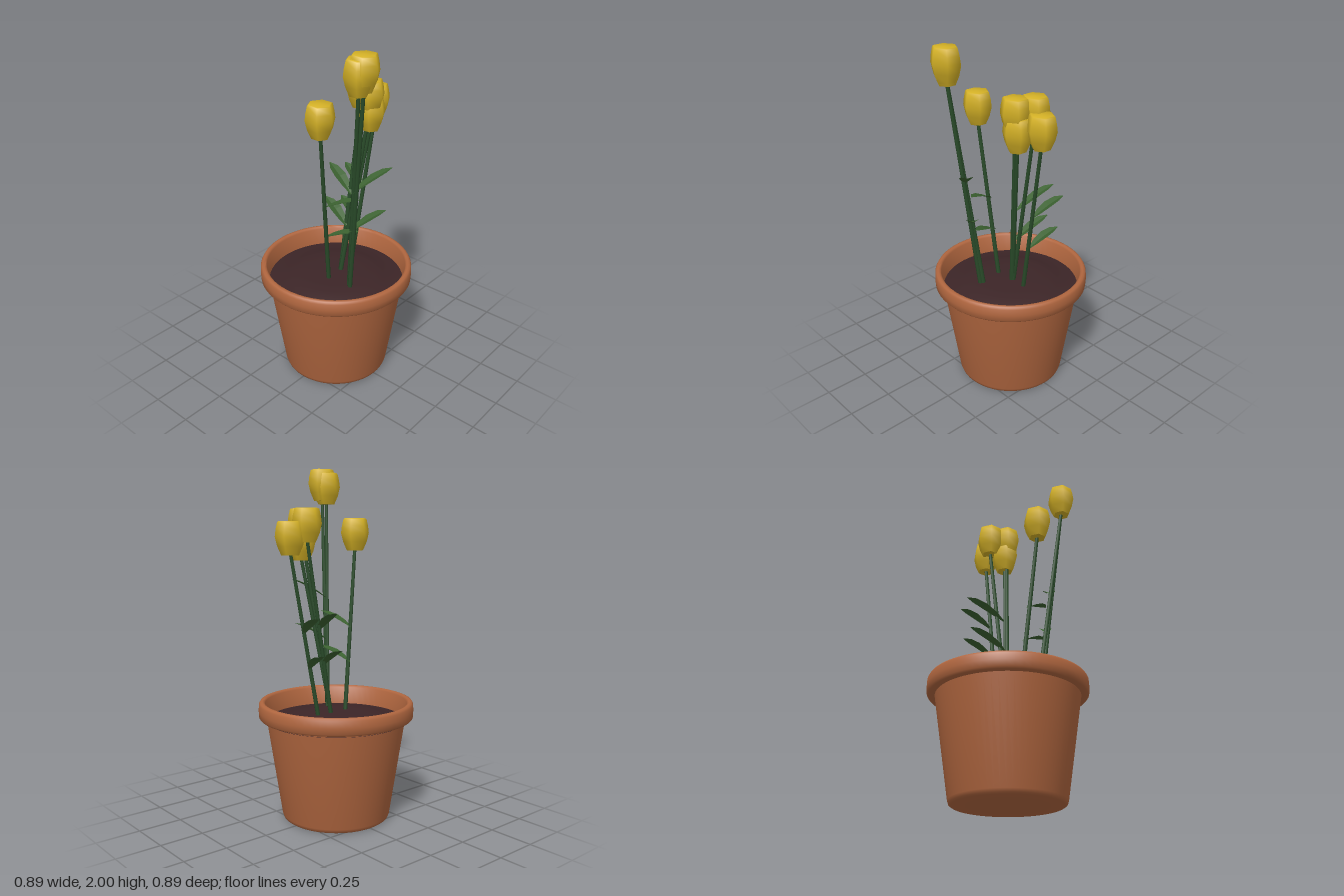
import * as THREE from 'three';
import { toCreasedNormals } from 'three/addons/utils/BufferGeometryUtils.js';

const mat = (name, color, extra = {}) => {
  const m = new THREE.MeshStandardMaterial({ color, ...extra });
  m.name = name;
  return m;
};

export function createModel() {
  const clay = mat('terracotta', 0xb0663f);
  const earth = mat('soil', 0x3c2527);
  const stemGreen = mat('stem green', 0x2a4c2a);
  const leafGreen = mat('leaf green', 0x3b6130, { side: THREE.DoubleSide });
  const yellow = mat('petal yellow', 0xd4b126);

  const model = new THREE.Group();
  model.name = 'pottedTulips';
  const add = (name, geometry, material, parent = model) => {
    const mesh = new THREE.Mesh(geometry, material);
    mesh.name = name;
    parent.add(mesh);
    return mesh;
  };
  const lathe = (pts, segments, start = 0) =>
    new THREE.LatheGeometry(pts.map(([x, y]) => new THREE.Vector2(x, y)), segments, start);

  // Pot: tapered wall, overhanging rim and inner wall
  add('pot', toCreasedNormals(lathe([
    [0, 0], [0.295, 0], [0.306, 0.007], [0.312, 0.025], [0.398, 0.585],
    [0.432, 0.585], [0.441, 0.595], [0.443, 0.63], [0.441, 0.667], [0.434, 0.679], [0.422, 0.683],
    [0.412, 0.68], [0.405, 0.67], [0.392, 0.55],
  ], 64), 0.9), clay);

  // Soil: low mound inside the pot
  add('soil', lathe([
    [0.4, 0.57], [0.34, 0.575], [0.28, 0.59], [0.23, 0.605], [0.15, 0.61], [0, 0.612],
  ], 48), earth);

  // Six-sided closed flower head, base at the origin
  const headGeo = toCreasedNormals(lathe([
    [0, 0], [0.048, 0], [0.07, 0.05], [0.082, 0.1], [0.077, 0.14], [0.068, 0.178], [0.062, 0.183], [0, 0.183],
  ], 6, Math.PI / 6), 1.1);

  // Flowers: stem position at rim height (x, z), then base of the head (x, y, z)
  const flowers = [
    [[0.178, 0.08], [0.305, 1.817, 0.15]],
    [[0.163, 0.072], [0.288, 1.797, 0.168]],
    [[0.022, 0.095], [0.063, 1.53, 0.197]],
    [[0.008, -0.045], [0.012, 1.58, -0.195]],
    [[0.022, -0.035], [0.108, 1.58, -0.152]],
    [[0.018, -0.04], [0.105, 1.48, -0.166]],
    [[0.015, -0.135], [0.047, 1.51, -0.283]],
  ];
  const up = new THREE.Vector3(0, 1, 0);
  flowers.forEach(([[x, z], top]) => {
    const flower = new THREE.Group();
    flower.name = 'flower';
    model.add(flower);
    const b = new THREE.Vector3(...top).setY(top[1] + 0.02);
    const a = new THREE.Vector3(x, 0.68, z);
    a.lerp(b, -0.1);
    const dir = b.clone().sub(a);
    const stem = add('stem', new THREE.CylinderGeometry(0.01, 0.013, dir.length(), 6), stemGreen, flower);
    stem.position.copy(a).add(b).multiplyScalar(0.5);
    stem.quaternion.setFromUnitVectors(up, dir.normalize());
    add('flowerHead', headGeo, yellow, flower).position.set(...top);
  });

  // Leaf: folded blade swept from base to tip through a few cross-sections
  const sections = [[0, 0.006], [0.25, 0.027], [0.55, 0.037], [0.82, 0.029], [1, 0.003]];
  const leaf = (from, to) => {
    const a = new THREE.Vector3(...from), b = new THREE.Vector3(...to);
    const dir = b.clone().sub(a).normalize();
    const side = dir.clone().cross(up).normalize();
    const normal = side.clone().cross(dir);
    const pos = [], index = [];
    sections.forEach(([t, w], i) => {
      for (const s of [-1, 0, 1]) {
        const p = a.clone().lerp(b, t).addScaledVector(side, s * w)
          .addScaledVector(normal, Math.abs(s) * w * 0.25 + Math.sin(t * Math.PI) * 0.008);
        pos.push(p.x, p.y, p.z);
      }
      if (i === 0) return;
      for (const k of [0, 1]) {
        const p = (i - 1) * 3 + k, q = i * 3 + k;
        index.push(p, p + 1, q, p + 1, q + 1, q);
      }
    });
    const g = new THREE.BufferGeometry();
    g.setAttribute('position', new THREE.Float32BufferAttribute(pos, 3));
    g.setIndex(index);
    const flat = g.toNonIndexed();
    flat.computeVertexNormals();
    add('leaf', flat, leafGreen);
  };
  [
    [[0.225, 1.24, 0.125], [0.345, 1.36, -0.05]],
    [[0.195, 0.99, 0.11], [0.315, 1.1, -0.05]],
    [[0.03, 1.09, 0.135], [0.225, 1.175, 0.07]],
    [[0.015, 0.89, 0.115], [0.21, 0.97, 0.055]],
    [[0.04, 1.09, -0.09], [-0.18, 1.205, -0.155]],
    [[0.03, 0.89, -0.065], [-0.18, 1.0, -0.115]],
    [[0.03, 1.08, -0.205], [-0.15, 1.18, -0.26]],
    [[0.02, 0.88, -0.175], [-0.15, 0.975, -0.225]],
  ].forEach(([from, to]) => leaf(from, to));

  return model;
}
